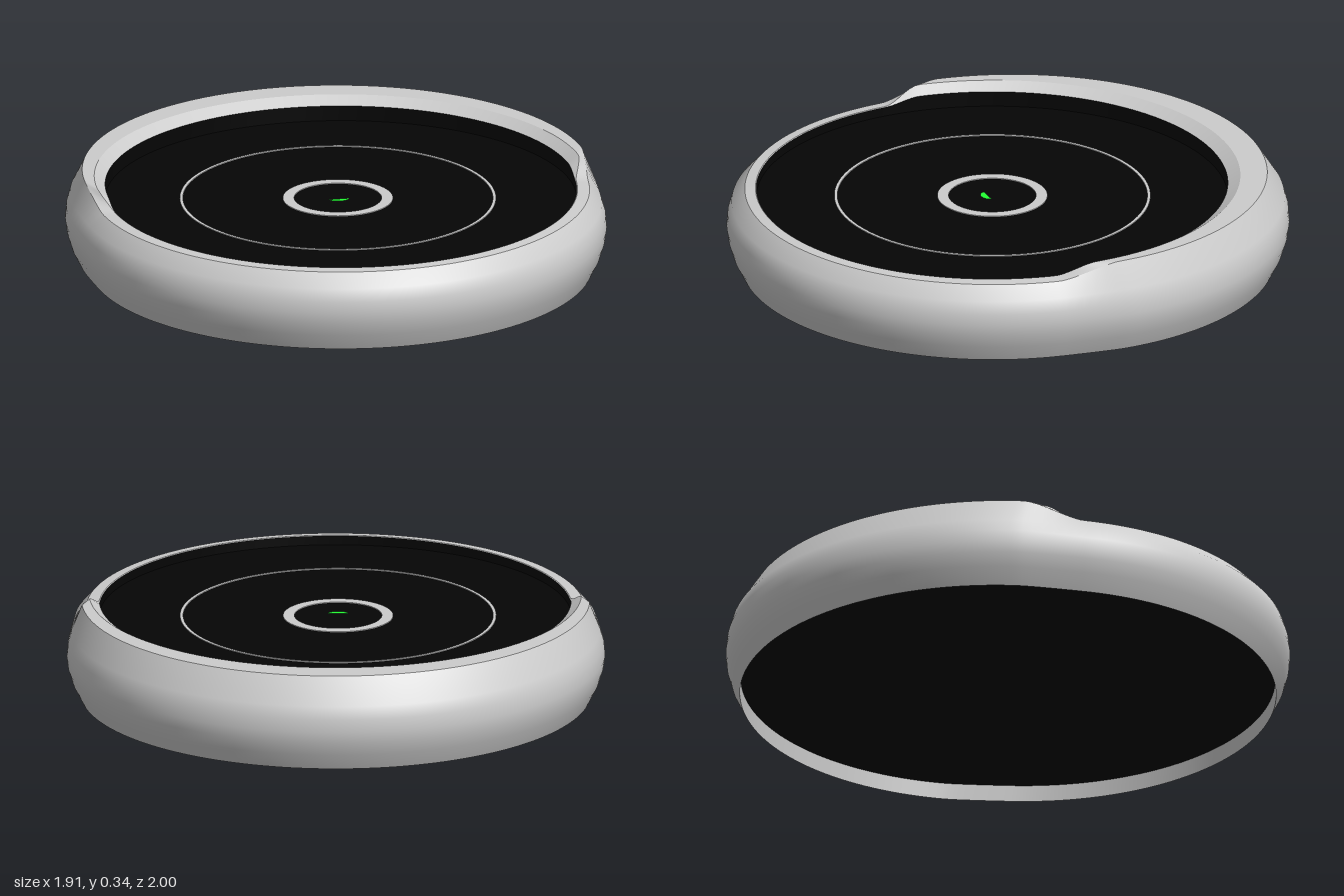
import * as THREE from 'three';

const SEGMENTS = 288;
const FLOOR = 0.252;
const RECESS = 0.06;
const lerp = THREE.MathUtils.lerp;
const grey = new THREE.MeshStandardMaterial({ color: 0xcccccc });
const black = new THREE.MeshStandardMaterial({ color: 0x050505 });
const green = new THREE.MeshStandardMaterial({ color: 0x22ff33 });

// A circular section: [radius, centre z, height], for the low front half and the raised back half
const section = (front, back = front) => ({ front, back });

// Skin between successive sections, blending front into back around the step
function skin(name, sections, material) {
  const positions = [], indices = [];
  for (const { front, back } of sections) {
    for (let i = 0; i < SEGMENTS; i++) {
      const a = (i / SEGMENTS) * Math.PI * 2;
      const rise = 1 - THREE.MathUtils.smoothstep(Math.sin(a), -0.06, 0.1);
      const [r, cz, y] = front.map((v, k) => lerp(v, back[k], rise));
      positions.push(r * Math.cos(a), y, cz + r * Math.sin(a));
    }
  }
  for (let r = 0; r < sections.length - 1; r++) {
    for (let i = 0; i < SEGMENTS; i++) {
      const j = (i + 1) % SEGMENTS;
      const a = r * SEGMENTS + i, b = r * SEGMENTS + j;
      indices.push(a, a + SEGMENTS, b, b, a + SEGMENTS, b + SEGMENTS);
    }
  }
  const geometry = new THREE.BufferGeometry();
  geometry.setAttribute('position', new THREE.Float32BufferAttribute(positions, 3));
  geometry.setIndex(indices);
  geometry.computeVertexNormals();
  const mesh = new THREE.Mesh(geometry, material);
  mesh.name = name;
  return mesh;
}

// Flat ring with a small thickness, lying on the floor of the recess
function flatRing(name, inner, outer) {
  const shape = new THREE.Shape().absarc(0, 0, outer, 0, Math.PI * 2);
  shape.holes.push(new THREE.Path().absarc(0, 0, inner, 0, Math.PI * 2, true));
  const geometry = new THREE.ExtrudeGeometry(shape, { depth: 0.003, bevelEnabled: false, curveSegments: 64 });
  geometry.rotateX(-Math.PI / 2);
  const mesh = new THREE.Mesh(geometry, grey);
  mesh.name = name;
  mesh.position.set(-0.01, FLOOR, 0.055);
  return mesh;
}

export function createModel() {
  const model = new THREE.Group();
  model.name = 'roundDevice';

  const base = section([0.893, 0.057, 0], [0.905, -0.045, 0]);
  const plateEdge = section([0.89, 0.057, RECESS], [0.902, -0.045, RECESS]);
  const topEdge = section([0.882, 0.053, 0.283], [0.9, -0.02, 0.335]);
  const lip = section([0.838, 0.06, 0.287], [0.872, 0.052, 0.335]);
  const wallFoot = section([0.835, 0.06, 0.285], [0.835, 0.06, 0.307]);
  const floorEdge = section([0.835, 0.06, FLOOR]);

  // Rounded outer shell
  model.add(skin('outerShell', [
    base,
    section([0.922, 0.058, 0.06], [0.935, -0.045, 0.06]),
    section([0.937, 0.058, 0.11], [0.95, -0.045, 0.11]),
    section([0.942, 0.058, 0.15], [0.955, -0.045, 0.15]),
    section([0.938, 0.058, 0.19], [0.951, -0.045, 0.195]),
    section([0.924, 0.058, 0.235], [0.938, -0.045, 0.24]),
    topEdge,
  ], grey));

  // Rim and the sloping inner wall of the raised back
  model.add(skin('rim', [topEdge, lip], grey));
  model.add(skin('innerWall', [lip, wallFoot], grey));

  // Dark recessed panel
  model.add(skin('panelWall', [wallFoot, floorEdge], black));
  model.add(skin('panelFloor', [floorEdge, section([0, 0.06, FLOOR])], black));

  // Underside: shell lip around a dark plate set up inside it
  model.add(skin('undersideLip', [plateEdge, base], grey));
  model.add(skin('undersidePlate', [section([0, 0, RECESS]), plateEdge], black));

  // Rings on the panel
  model.add(flatRing('thinRing', 0.549, 0.56));
  model.add(flatRing('buttonRing', 0.155, 0.195));

  // Half-round indicator light
  const light = new THREE.Mesh(new THREE.CircleGeometry(0.036, 32, Math.PI, Math.PI), green);
  light.name = 'indicatorLight';
  light.rotation.x = -Math.PI / 2;
  light.scale.y = 0.7;
  light.position.set(-0.01, FLOOR + 0.004, 0.072);
  model.add(light);

  return model;
}
